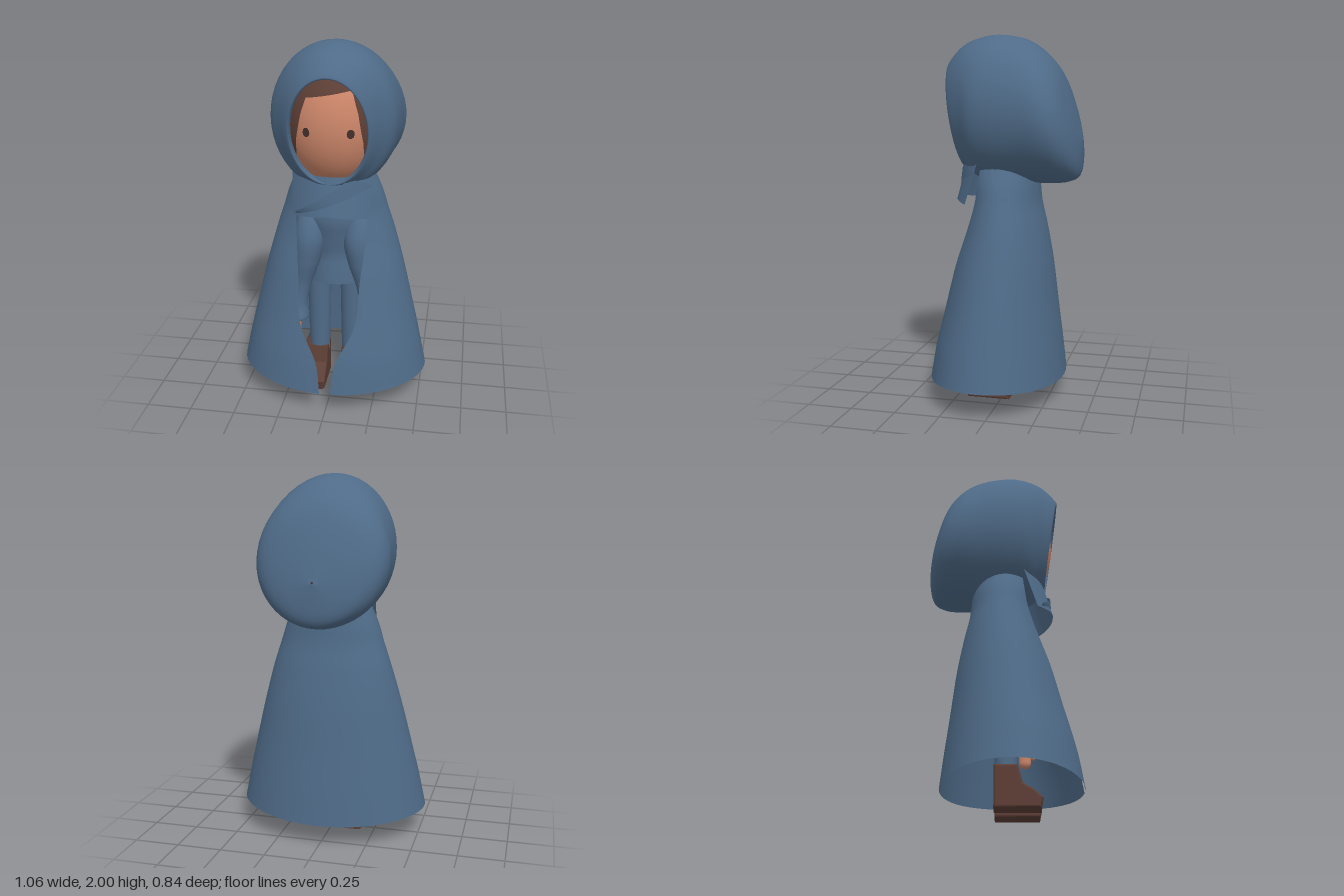
import * as THREE from 'three';
import { ParametricGeometry } from 'three/addons/geometries/ParametricGeometry.js';

const { sin, cos, abs, sqrt, PI } = Math;

const flat = (name, color, side = THREE.DoubleSide) =>
  Object.assign(new THREE.MeshStandardMaterial({ color, side }), { name });

// Smooth sampling of a table of rows, t from 0 to 1
function sample(rows, t) {
  const n = rows.length - 1;
  const f = Math.min(Math.max(t, 0), 1) * n;
  const i = Math.min(Math.floor(f), n - 1), w = f - i;
  const at = k => rows[Math.min(Math.max(k, 0), n)];
  return rows[0].map((_, c) => {
    const [a, b, d, e] = [at(i - 1)[c], at(i)[c], at(i + 1)[c], at(i + 2)[c]];
    return b + 0.5 * w * (d - a + w * (2 * a - 5 * b + 4 * d - e + w * (3 * (b - d) + e - a)));
  });
}

// Hood rings from rim to back: top y, top z, bottom y, bottom z, half width
const HOOD = [
  [1.85, 0.28, 1.29, 0.2, 0.2],
  [1.86, 0.32, 1.28, 0.235, 0.21],
  [1.95, 0.235, 1.25, 0.19, 0.27],
  [1.99, 0.13, 1.22, 0.14, 0.325],
  [2.0, 0.02, 1.2, 0.05, 0.345],
  [1.97, -0.12, 1.2, -0.1, 0.352],
  [1.9, -0.22, 1.2, -0.25, 0.355],
  [1.8, -0.3, 1.21, -0.35, 0.31],
  [1.65, -0.36, 1.26, -0.41, 0.2],
  [1.46, -0.415, 1.45, -0.42, 0.006],
];

// Cape rows from neck to hem: y, half width, front z, back z, half opening
const CAPE = [
  [1.32, 0.2, 0.19, -0.17, 0.17],
  [1.2, 0.255, 0.19, -0.18, 0.2],
  [1.09, 0.29, 0.19, -0.19, 0.2],
  [0.95, 0.335, 0.22, -0.22, 0.19],
  [0.75, 0.39, 0.28, -0.255, 0.17],
  [0.5, 0.45, 0.34, -0.285, 0.15],
  [0.3, 0.495, 0.39, -0.31, 0.055],
  [0.12, 0.53, 0.42, -0.33, 0.03],
];

// Head ellipsoid
const HEAD = { y: 1.56, z: 0.02, rx: 0.27, ry: 0.33, rz: 0.26 };
const headZ = (x, y) =>
  HEAD.z + HEAD.rz * sqrt(Math.max(0, 1 - (x / HEAD.rx) ** 2 - ((y - HEAD.y) / HEAD.ry) ** 2));

// Hairline around the face, x and y
const HAIRLINE = [
  [-0.12, 1.73], [0.11, 1.77], [0.145, 1.66], [0.17, 1.52], [0.175, 1.42], [0.13, 1.3],
  [0, 1.25], [-0.13, 1.3], [-0.175, 1.42], [-0.17, 1.52], [-0.145, 1.65],
];

const collarZ = (x, y) => 0.28 - (y - 1.12) * 0.28 - 2.25 * x * x;

export function createModel() {
  const cloth = flat('blue cloth', 0x4f6b88);
  const skin = flat('skin', 0xc98468);
  const brown = flat('brown leather and hair', 0x5c3e35);
  const dark = flat('dark eyes', 0x43302c);

  const model = new THREE.Group();
  const add = (name, geometry, material, parent = model) => {
    const mesh = new THREE.Mesh(geometry, material);
    mesh.name = name;
    parent.add(mesh);
    return mesh;
  };
  const surface = (f, nu, nv) => new ParametricGeometry((u, v, p) => p.set(...f(u, v)), nu, nv);

  // Hood
  add('hood', surface((u, v) => {
    const [ty, tz, by, bz, w] = sample(HOOD, v);
    const a = u * 2 * PI, k = (1 + cos(a)) / 2;
    return [w * sin(a), by + (ty - by) * k, bz + (tz - bz) * k];
  }, 48, 45), cloth);

  // Cape, open at the front
  add('cape', surface((u, v) => {
    const [y, rx, front, back, gap] = sample(CAPE, v);
    const start = Math.asin(gap / rx);
    const a = start + u * 2 * (PI - start);
    const lift = 0.03 * sin(a) ** 2 * v ** 4;
    return [rx * sin(a), y + lift, (front + back) / 2 + (front - back) / 2 * cos(a)];
  }, 48, 42), cloth);

  // Collar with a flap folded across it
  add('collar', surface((u, v) => {
    const s = u * 2 - 1, x = s * (0.21 + 0.01 * v);
    const y = 1.12 - 0.03 * abs(s) + v * (0.2 + 0.03 * abs(s));
    return [x, y, collarZ(x, y)];
  }, 20, 6), cloth);
  add('collarFlap', surface((u, v) => {
    const x = -0.19 + u * (0.3 + 0.1 * v) + 0.01 * v;
    const y = 1.105 + u * (0.2 - 0.05 * v) + 0.01 * (1 - v);
    return [x, y, collarZ(x, y) + 0.014 * (1 - v) + 0.002];
  }, 16, 4), cloth);

  // Head and neck
  const head = add('head', new THREE.SphereGeometry(1, 40, 28), skin);
  head.scale.set(HEAD.rx, HEAD.ry, HEAD.rz);
  head.position.set(0, HEAD.y, HEAD.z);
  add('neck', new THREE.CylinderGeometry(0.08, 0.09, 0.2, 16), skin).position.set(0, 1.18, 0);

  // Hair: from the hairline out to the widest part of the head, then round the back
  const columns = HAIRLINE.length;
  add('hair', surface((u, v) => {
    const f = (u % 1) * columns, i = Math.floor(f), w = f - i;
    const p = HAIRLINE[i % columns], q = HAIRLINE[(i + 1) % columns];
    const x0 = p[0] + (q[0] - p[0]) * w, y0 = p[1] + (q[1] - p[1]) * w - HEAD.y;
    const r0 = Math.hypot(x0 / HEAD.rx, y0 / HEAD.ry);
    const a0 = Math.asin(Math.min(r0, 1));
    const a = a0 + (PI - 0.01 - a0) * v, g = 1.025;
    return [g * x0 / r0 * sin(a), HEAD.y + g * y0 / r0 * sin(a), HEAD.z + g * HEAD.rz * cos(a)];
  }, columns * 6, 28), brown);

  // Eyes
  for (const side of [-1, 1]) {
    const x = 0.115 * side, y = 1.565;
    const eye = add(side > 0 ? 'leftEye' : 'rightEye', new THREE.CircleGeometry(0.025, 10), dark);
    eye.scale.x = 0.85;
    eye.position.set(x, y, headZ(x, y) + 0.004);
    eye.rotation.y = 0.43 * side;
  }

  // Tunic
  const tunicProfile = [[0.001, 1.16], [0.1, 1.15], [0.175, 1.09], [0.15, 0.98], [0.115, 0.85],
    [0.11, 0.77], [0.155, 0.66], [0.12, 0.67], [0.001, 0.7]].reverse();
  const tunic = add('tunic',
    new THREE.LatheGeometry(tunicProfile.map(p => new THREE.Vector2(...p)), 28), cloth);
  tunic.scale.z = 0.75;
  tunic.position.z = 0.02;

  // Sleeve rows: x, y, z, radius
  const SLEEVE = [
    [0.14, 1.1, 0.04, 0.03], [0.14, 1.05, 0.05, 0.065], [0.14, 0.92, 0.075, 0.088],
    [0.155, 0.78, 0.085, 0.075], [0.18, 0.64, 0.09, 0.052], [0.2, 0.52, 0.1, 0.05],
    [0.21, 0.43, 0.11, 0.068], [0.21, 0.44, 0.11, 0.03],
  ];
  // Boot side outline: forward z and height
  const bootShape = new THREE.Shape([[-0.035, 0.012], [0.18, 0.012], [0.188, 0.05], [0.15, 0.085],
    [0.09, 0.12], [0.065, 0.21], [-0.035, 0.21]].map(p => new THREE.Vector2(...p)));

  for (const side of [-1, 1]) {
    const label = side > 0 ? 'left' : 'right';

    // Arm
    const arm = new THREE.Group();
    arm.name = label + 'Arm';
    model.add(arm);
    add(label + 'Sleeve', surface((u, v) => {
      const [x, y, z, r] = sample(SLEEVE, v), a = u * 2 * PI;
      return [side * (x + r * cos(a)), y, z + r * sin(a)];
    }, 20, 28), cloth, arm);
    const hand = add(label + 'Hand', new THREE.CapsuleGeometry(0.034, 0.1, 6, 14), skin, arm);
    hand.position.set(side * 0.212, 0.385, 0.115);
    hand.scale.x = 0.75;
    const thumb = add(label + 'Thumb', new THREE.CapsuleGeometry(0.012, 0.04, 4, 8), skin, arm);
    thumb.position.set(side * 0.2, 0.375, 0.153);
    thumb.rotation.x = -0.4;

    // Leg and boot
    const leg = new THREE.Group();
    leg.name = label + 'Leg';
    leg.position.x = side * 0.11;
    model.add(leg);
    add(label + 'Trouser', new THREE.CylinderGeometry(0.07, 0.058, 0.56, 18), cloth, leg)
      .position.set(-side * 0.015, 0.46, 0.015);
    const boot = add(label + 'Boot', new THREE.ExtrudeGeometry(bootShape, {
      depth: 0.1, bevelEnabled: true, bevelThickness: 0.02, bevelSize: 0.012, bevelSegments: 3,
    }), brown, leg);
    boot.rotation.y = -PI / 2;
    boot.position.x = 0.05;
  }

  return model;
}
